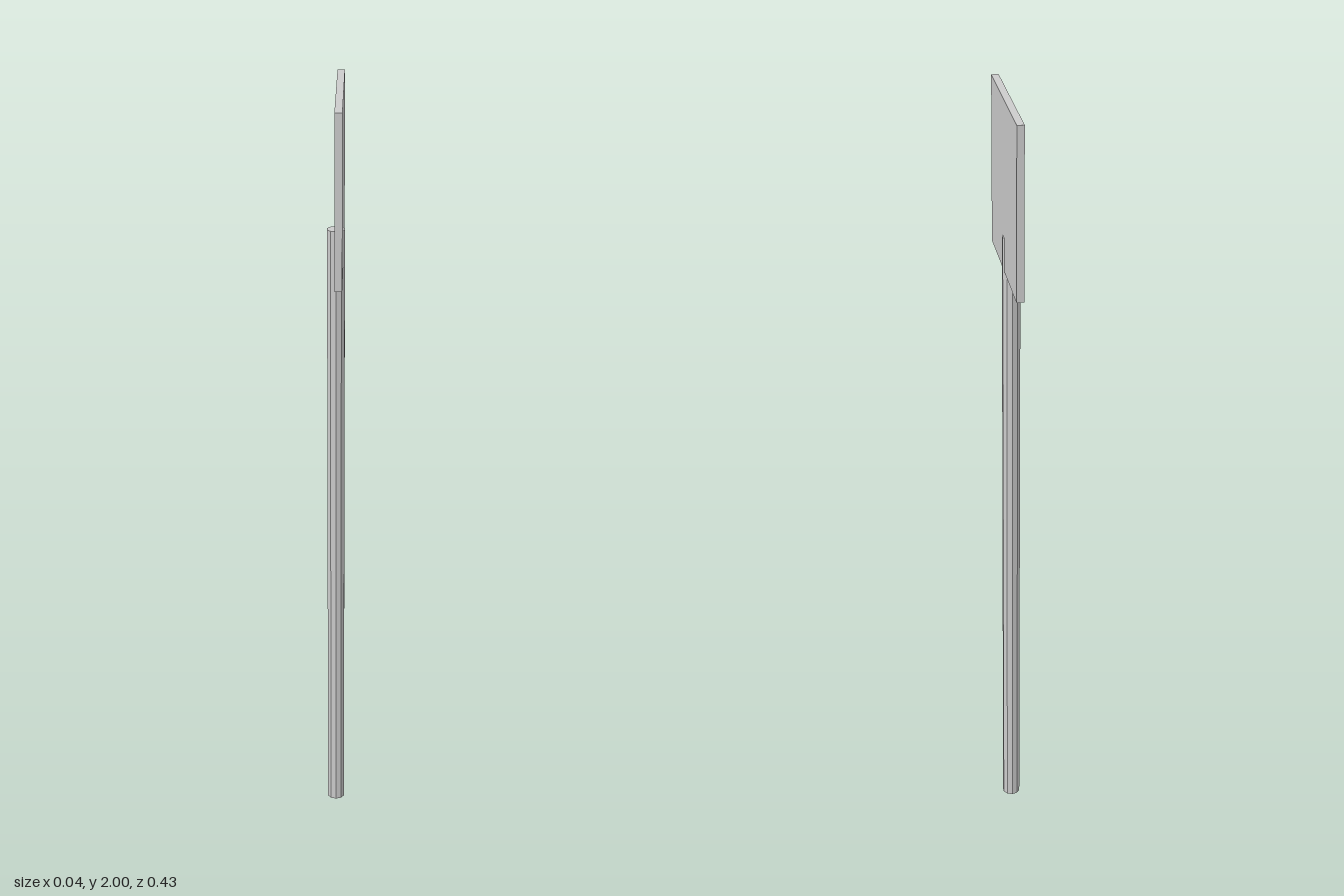
import * as THREE from 'three';

export function createModel() {
  const group = new THREE.Group();
  const material = new THREE.MeshStandardMaterial({ color: 0xcccccc, flatShading: true });

  const add = (name, geometry, x, y, z) => {
    const mesh = new THREE.Mesh(geometry, material);
    mesh.name = name;
    mesh.position.set(x, y, z);
    group.add(mesh);
  };

  // Ten-sided post standing on the ground
  const postHeight = 1.655;
  add('post', new THREE.CylinderGeometry(0.0232, 0.0232, postHeight, 10), 0, postHeight / 2, 0);

  // Square sign board, set into the top of the post
  const bottom = 1.567, top = 2, thickness = 0.0185;
  add('signBoard', new THREE.BoxGeometry(thickness, top - bottom, 0.434),
    thickness / 2, (top + bottom) / 2, 0);

  return group;
}
